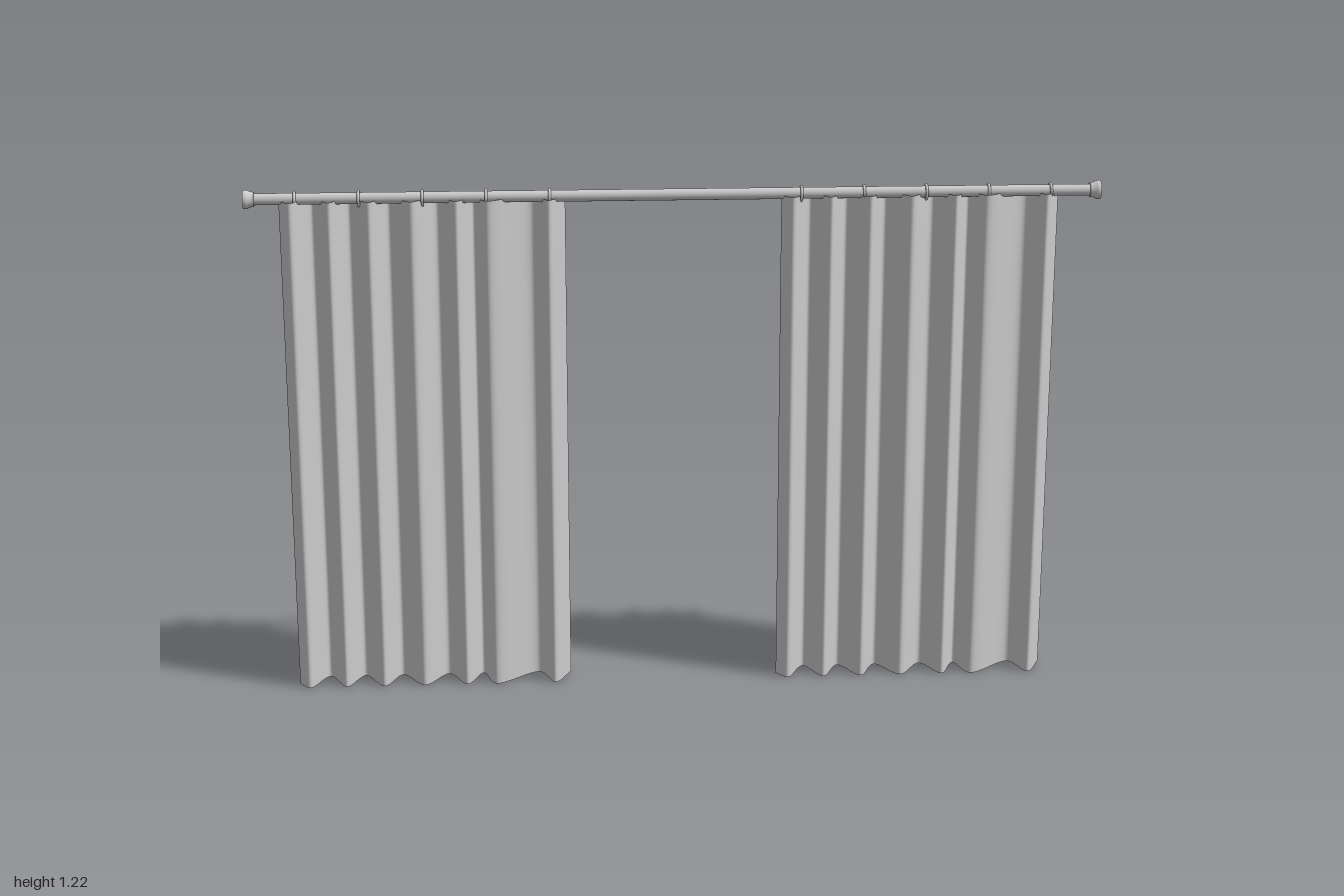
import * as THREE from 'three';

const ROD_Y = 1.201, ROD_Z = 0.004, HEM_TOP = 1.197;

// Plan view of one gathered curtain: [distance along the rod, depth]
const FOLDS = [
  [0, 0.008], [0.03, 0.036], [0.072, -0.035], [0.115, 0.036], [0.158, -0.035],
  [0.207, 0.037], [0.25, -0.035], [0.305, 0.036], [0.362, -0.035], [0.408, 0.036],
  [0.447, -0.035], [0.482, 0.037], [0.582, -0.035], [0.622, 0.036], [0.662, -0.034],
];

export function createModel() {
  const model = new THREE.Group();
  const metal = new THREE.MeshStandardMaterial({ color: 0xcccccc });
  const cloth = new THREE.MeshStandardMaterial({ color: 0xcccccc, side: THREE.DoubleSide });

  const add = (name, geometry, material, x, y, z) => {
    const mesh = new THREE.Mesh(geometry, material);
    mesh.name = name;
    mesh.position.set(x, y, z);
    model.add(mesh);
    return mesh;
  };

  // Rod
  const rod = new THREE.CylinderGeometry(0.0135, 0.0135, 1.96, 32).rotateZ(Math.PI / 2);
  add('rod', rod, metal, 0, ROD_Y, ROD_Z);

  // Flared end caps, profile runs outwards along the rod
  const capProfile = [
    [0, 0], [0.017, 0], [0.017, 0], [0.018, 0.008], [0.022, 0.017],
    [0.022, 0.017], [0.022, 0.025], [0.022, 0.025], [0, 0.025],
  ].map(([r, h]) => new THREE.Vector2(r, h));
  for (const side of [-1, 1]) {
    const cap = new THREE.LatheGeometry(capProfile, 32).rotateZ(-side * Math.PI / 2);
    add(side > 0 ? 'leftEndCap' : 'rightEndCap', cap, metal, side * 0.975, ROD_Y, ROD_Z);
  }

  // Rings, five for each curtain
  const ring = new THREE.TorusGeometry(0.0165, 0.0035, 10, 32).rotateY(Math.PI / 2);
  for (const side of [-1, 1]) {
    for (let i = 0; i < 5; i++) {
      add('curtainRing', ring, metal, side * (0.294 + i * 0.147), ROD_Y - 0.001, ROD_Z);
    }
  }

  // Curtains: the fold line swept from hem to top
  const line = new THREE.CatmullRomCurve3(
    FOLDS.map(([x, z]) => new THREE.Vector3(x, 0, z)), false, 'catmullrom', 0.5);
  const steps = (FOLDS.length - 1) * 14;
  const curtain = new THREE.PlaneGeometry(1, 1, steps, 8);
  const pos = curtain.attributes.position;
  for (let i = 0; i < pos.count; i++) {
    const p = line.getPoint(pos.getX(i) + 0.5);
    const z = THREE.MathUtils.clamp(p.z, -0.037, 0.038);
    pos.setXYZ(i, p.x, (pos.getY(i) + 0.5) * HEM_TOP, z);
  }
  curtain.computeVertexNormals();
  add('rightCurtain', curtain, cloth, -0.919, 0, 0);
  add('leftCurtain', curtain, cloth, 0.247, 0, 0);

  return model;
}
